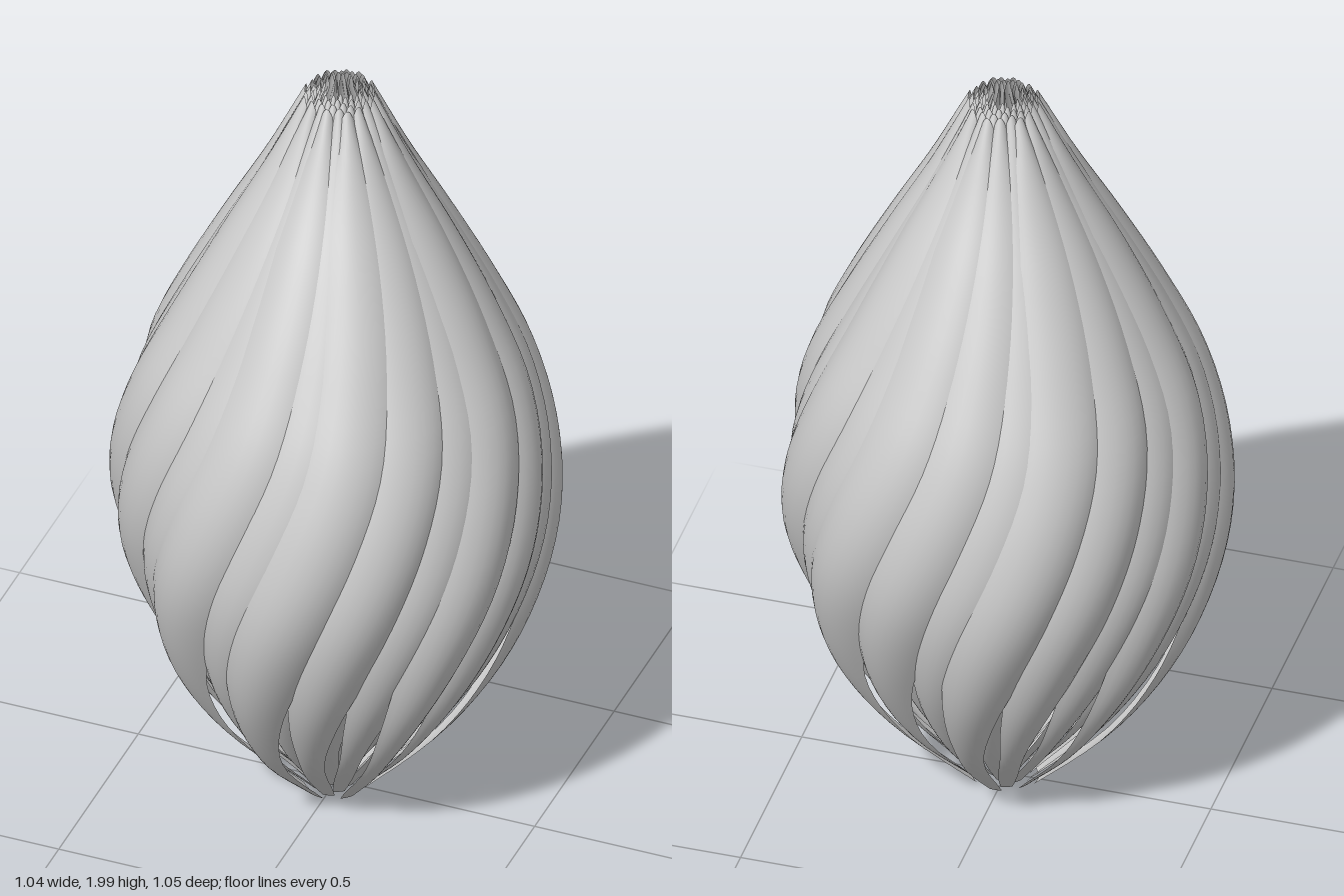
import * as THREE from 'three';

const PETALS = 70;
const ROWS = 44, COLS = 10;
const GOLDEN = Math.PI * (3 - Math.sqrt(5));

// Evenly spaced heights from base to tip: radius, half width in radians, twist
const profile = new THREE.CatmullRomCurve3([
  [0.08, 0.20, -0.22],
  [0.275, 0.11, -0.19],
  [0.41, 0.15, -0.12],
  [0.495, 0.21, -0.01],
  [0.537, 0.26, 0.13],
  [0.53, 0.29, 0.28],
  [0.48, 0.30, 0.42],
  [0.39, 0.30, 0.50],
  [0.287, 0.29, 0.55],
  [0.18, 0.26, 0.57],
  [0.088, 0.20, 0.58],
].map(p => new THREE.Vector3(...p)), false, 'catmullrom', 0.5);

// One thin petal: a bulged cross-section swept along the twisted profile.
// depth runs from 0 (outermost) to 1 (innermost).
function petalGeometry(angle, depth) {
  const geometry = new THREE.PlaneGeometry(1, 1, COLS, ROWS);
  const pos = geometry.attributes.position;
  for (let j = 0; j <= ROWS; j++) {
    const t = j / ROWS;
    const { x: radius, y: half, z: twist } = profile.getPoint(t);
    // Inner petals draw in slightly at the belly and strongly at both ends
    const scale = 1 - depth * (0.17 + 0.55 * (1 - t) ** 4 + 0.36 * t ** 8);
    const bulge = 0.1 * Math.sin(Math.PI * t);
    for (let i = 0; i <= COLS; i++) {
      const s = (i / COLS) * 2 - 1;
      const a = angle + twist + s * half;
      const r = radius * scale * (1 - bulge * s * s - 0.01 * s);
      // Inner stems start a little higher; tips end in shallow points
      const y = 2 * t + (0.01 + 0.06 * depth) * (1 - t) ** 3
        - (0.02 * (1 - depth) + 0.035 * s * s) * t ** 12;
      pos.setXYZ(j * (COLS + 1) + i, r * Math.sin(a), y, r * Math.cos(a) - 0.022 * t * t);
    }
  }
  // The rows run upward, so reverse the winding to face outward
  const index = geometry.index;
  for (let k = 0; k < index.count; k += 3) {
    const b = index.getX(k + 1);
    index.setX(k + 1, index.getX(k + 2));
    index.setX(k + 2, b);
  }
  geometry.computeVertexNormals();
  return geometry;
}

export function createModel() {
  const model = new THREE.Group();
  model.name = 'twistedBud';
  const material = new THREE.MeshStandardMaterial({ color: 0xcccccc, side: THREE.DoubleSide });

  // Petals follow the golden angle, each tucked slightly under the last
  for (let i = 0; i < PETALS; i++) {
    const petal = new THREE.Mesh(petalGeometry(i * GOLDEN, i / (PETALS - 1)), material);
    petal.name = `petal${i + 1}`;
    model.add(petal);
  }
  return model;
}
